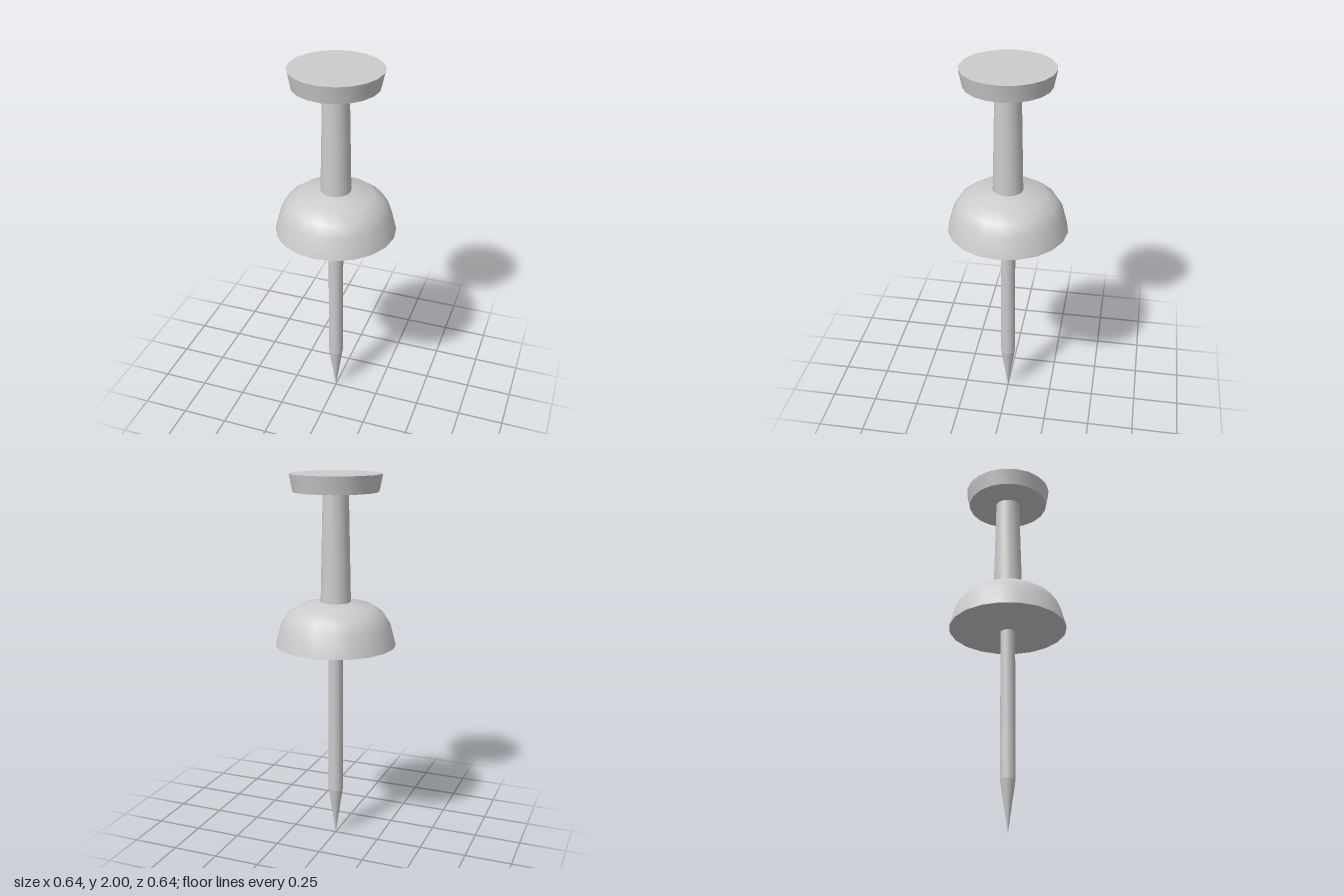
import * as THREE from 'three';
import { toCreasedNormals } from 'three/addons/utils/BufferGeometryUtils.js';

const SIDES = 20;
const material = new THREE.MeshStandardMaterial({ color: 0xcccccc });

// Turned part from [radius, height] pairs, listed bottom to top
function turned(name, profile) {
  const points = profile.map(([r, y]) => new THREE.Vector2(r, y));
  const geometry = toCreasedNormals(new THREE.LatheGeometry(points, SIDES), 0.6);
  const mesh = new THREE.Mesh(geometry, material);
  mesh.name = name;
  return mesh;
}

export function createModel() {
  const group = new THREE.Group();
  group.name = 'pushPin';
  group.add(
    // Metal pin: sharp tip and straight shaft
    turned('needleTip', [[0, 0], [0.04, 0.27]]),
    turned('needleShaft', [[0.04, 0.27], [0.04, 1.1]]),
    // Domed collar with a very shallow convex underside
    turned('collar', [
      [0, 1.09], [0.04, 1.092], [0.32, 1.108], [0.29, 1.222],
      [0.258, 1.274], [0.2, 1.316], [0.08, 1.34],
    ]),
    // Tapered grip
    turned('grip', [[0.08, 1.34], [0.067, 1.91]]),
    // Flared cap
    turned('cap', [[0, 1.91], [0.222, 1.91], [0.24, 2], [0, 2]]),
  );
  return group;
}
